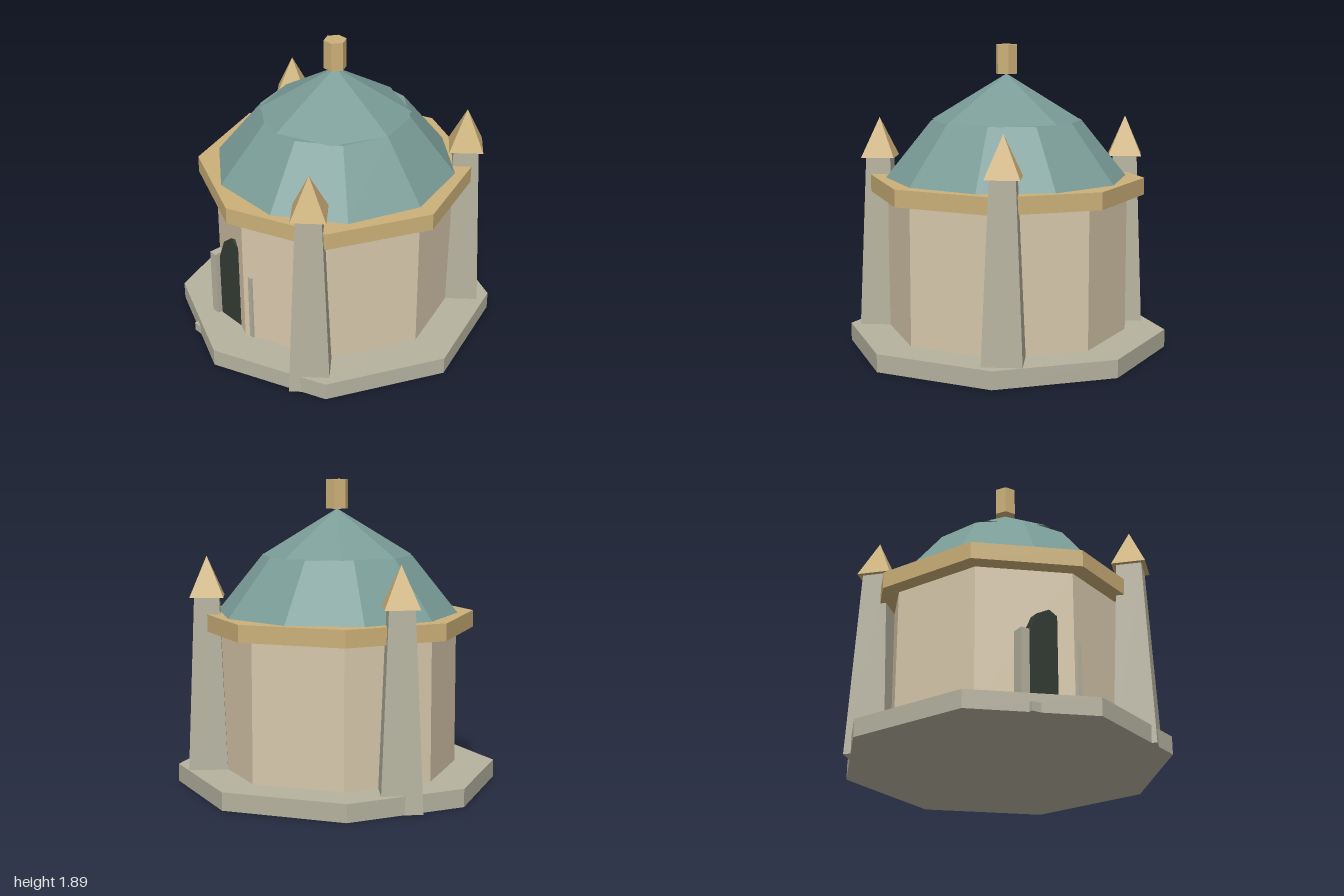
import * as THREE from 'three';

const mat = (color, extra = {}) => new THREE.MeshStandardMaterial({ color, flatShading: true, ...extra });

export function createModel() {
  const stone = mat(0xb5b29f);
  const plaster = mat(0xd8c8ac);
  const gold = mat(0xccb078);
  const teal = mat(0x7a9c97);
  const dark = mat(0x333b34);

  const group = new THREE.Group();
  const add = (name, geometry, material, parent = group) => {
    const mesh = new THREE.Mesh(geometry, material);
    mesh.name = name;
    parent.add(mesh);
    return mesh;
  };

  // Faceted drum between two heights; turn rotates the corners about y
  const drum = (name, rTop, rBottom, y0, y1, sides, material, turn = 0, parent = group) => {
    const geometry = rTop > 0
      ? new THREE.CylinderGeometry(rTop, rBottom, y1 - y0, sides)
      : new THREE.ConeGeometry(rBottom, y1 - y0, sides);
    geometry.rotateY(turn).translate(0, (y0 + y1) / 2, 0);
    return add(name, geometry, material, parent);
  };

  // Box given by its minimum and maximum corners
  const block = (name, a, b, material) => {
    const geometry = new THREE.BoxGeometry(b[0] - a[0], b[1] - a[1], b[2] - a[2]);
    geometry.translate((a[0] + b[0]) / 2, (a[1] + b[1]) / 2, (a[2] + b[2]) / 2);
    return add(name, geometry, material);
  };

  // Main octagonal building
  drum('plinth', 1, 1, 0, 0.11, 8, stone);
  drum('walls', 0.75, 0.75, 0.11, 0.97, 8, plaster);
  drum('cornice', 0.857, 0.857, 0.97, 1.075, 8, gold);

  // Two-stage dome and finial
  drum('lowerDome', 0.465, 0.75, 1.075, 1.43, 10, teal, Math.PI / 2);
  drum('upperDome', 0, 0.465, 1.43, 1.715, 8, teal);
  drum('finial', 0.07, 0.07, 1.715, 1.895, 6, gold, Math.PI / 2);

  // Three tapered corner buttresses with pyramid caps
  for (const [x, z] of [[0.505, 0.647], [0.535, -0.605], [-0.75, -0.29]]) {
    const buttress = new THREE.Group();
    buttress.name = 'buttress';
    buttress.position.set(x, 0, z);
    drum('buttressShaft', 0.108, 0.176, 0, 1.18, 4, stone, 0, buttress);
    drum('buttressCap', 0, 0.147, 1.18, 1.43, 4, gold, 0, buttress);
    group.add(buttress);
  }

  // Arched doorway, partly sunk into the wall
  const doorX = -0.145;
  const outline = [[-0.14, 0.11], [0.14, 0.11], [0.14, 0.53], [0.086, 0.67],
    [0, 0.716], [-0.086, 0.67], [-0.14, 0.53]].map(([x, y]) => new THREE.Vector2(x, y));
  const doorGeometry = new THREE.ExtrudeGeometry(new THREE.Shape(outline), { depth: 0.1, bevelEnabled: false });
  add('door', doorGeometry.translate(doorX, 0, 0.613), dark);

  // Door jambs and entrance step
  for (const side of [-1, 1]) {
    const x = doorX + side * 0.177;
    block('doorJamb', [x - 0.027, 0.11, 0.66], [x + 0.027, 0.55, 0.738], stone);
  }
  block('entranceStep', [doorX - 0.225, 0, 0.68], [doorX + 0.225, 0.055, 0.872], stone);

  return group;
}
